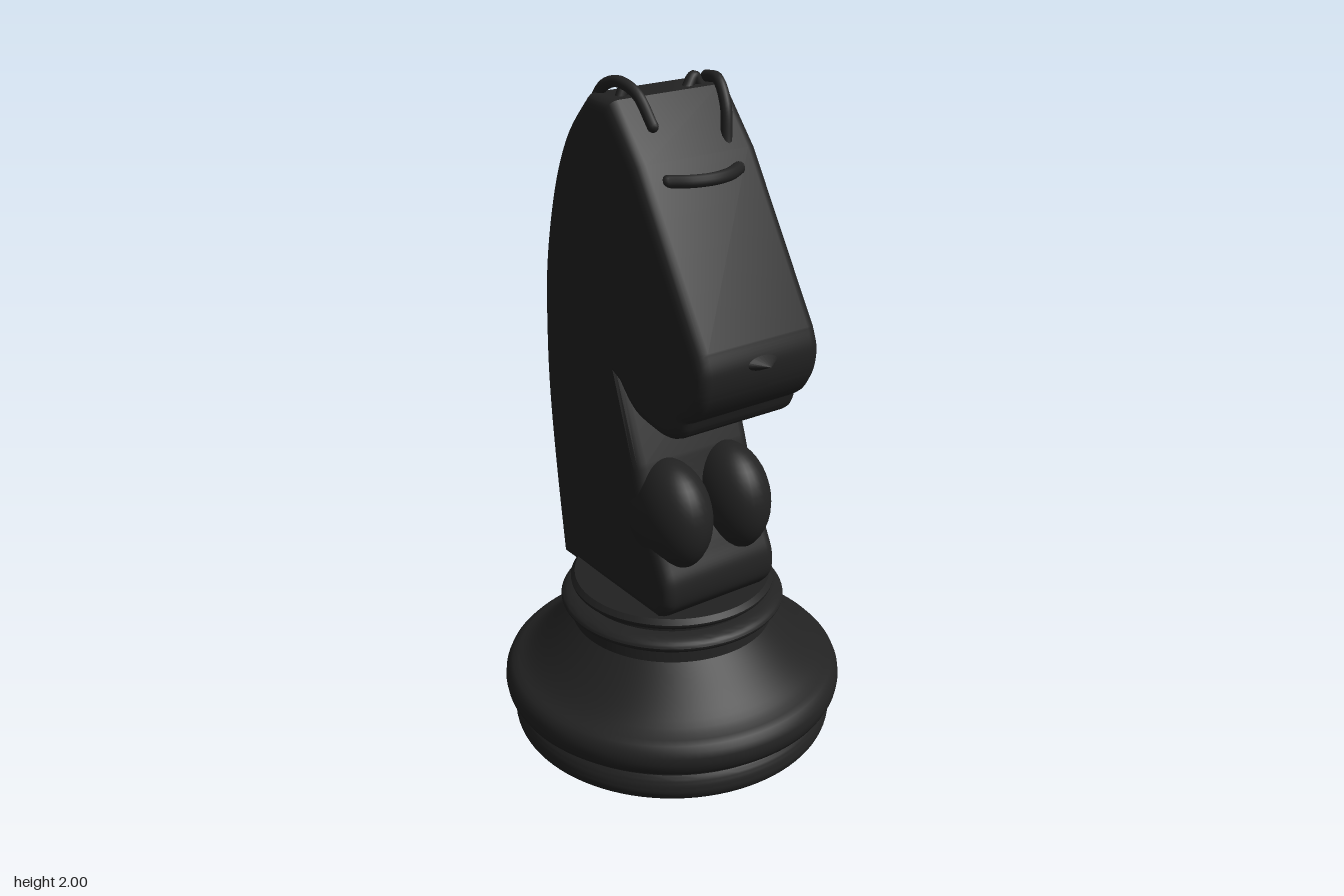
import * as THREE from 'three';
import { toCreasedNormals } from 'three/addons/utils/BufferGeometryUtils.js';

const black = new THREE.MeshStandardMaterial({ color: 0x222222 });
black.name = 'black';

export function createModel() {
  const group = new THREE.Group();
  const add = (name, geometry, x = 0, y = 0, z = 0) => {
    const mesh = new THREE.Mesh(geometry, black);
    mesh.name = name;
    mesh.position.set(x, y, z);
    group.add(mesh);
    return mesh;
  };
  const tube = (name, points, radius) => {
    const curve = new THREE.CatmullRomCurve3(points.map(p => new THREE.Vector3(...p)));
    add(name, new THREE.TubeGeometry(curve, 24, radius, 10));
    // Rounded tube ends
    for (const p of [points[0], points[points.length - 1]]) {
      add(name + 'Tip', new THREE.SphereGeometry(radius, 10, 8), ...p);
    }
  };

  // Turned base: foot ring, round moulding, flared body and two collars
  const profile = new THREE.Path();
  profile.moveTo(0, 0);
  profile.lineTo(0.46, 0);
  profile.quadraticCurveTo(0.485, 0.005, 0.489, 0.035);
  profile.quadraticCurveTo(0.488, 0.065, 0.47, 0.085);
  profile.lineTo(0.47, 0.098);
  profile.bezierCurveTo(0.53, 0.1, 0.53, 0.2, 0.475, 0.21);
  profile.bezierCurveTo(0.43, 0.225, 0.39, 0.27, 0.305, 0.36);
  profile.lineTo(0.3, 0.4);
  profile.quadraticCurveTo(0.335, 0.405, 0.337, 0.425);
  profile.quadraticCurveTo(0.332, 0.445, 0.28, 0.45);
  profile.lineTo(0.28, 0.463);
  profile.quadraticCurveTo(0.306, 0.465, 0.307, 0.485);
  profile.lineTo(0.295, 0.5);
  profile.lineTo(0, 0.5);
  add('base', toCreasedNormals(new THREE.LatheGeometry(profile.getPoints(8), 96), 0.6));

  // Horse head and neck: side outline with rounded edges
  const v = list => list.map(([x, y]) => new THREE.Vector2(x, y));
  const outline = new THREE.Shape();
  outline.moveTo(-0.312, 0.47);
  outline.splineThru(v([[-0.35, 0.75], [-0.375, 1], [-0.379, 1.2], [-0.365, 1.42],
    [-0.31, 1.65], [-0.23, 1.82], [-0.12, 1.945]]));
  outline.lineTo(-0.01, 1.945);
  outline.lineTo(0.12, 1.8);
  outline.lineTo(0.395, 1.37);
  outline.splineThru(v([[0.415, 1.31], [0.405, 1.24], [0.37, 1.18], [0.33, 1.15]]));
  outline.splineThru(v([[0.31, 1.105], [0.26, 1.08], [0.2, 1.078], [0.09, 1.1], [0.01, 1.17]]));
  outline.lineTo(0.11, 0.94);
  outline.splineThru(v([[0.16, 0.8], [0.22, 0.68], [0.252, 0.61], [0.25, 0.54], [0.21, 0.49]]));
  const bevel = 0.035;
  const head = new THREE.ExtrudeGeometry(outline, {
    depth: 0.4 - 2 * bevel, curveSegments: 6, bevelEnabled: true,
    bevelSize: bevel, bevelOffset: -bevel, bevelThickness: bevel, bevelSegments: 4,
  });
  head.translate(0, 0, -0.2 + bevel);
  add('headAndNeck', toCreasedNormals(head, 0.6));

  // Paired chest muscles and inner ear hooks
  for (const s of [-1, 1]) {
    add('chestMuscle', new THREE.SphereGeometry(1, 32, 20), 0.135, 0.776, s * 0.104)
      .scale.set(0.155, 0.168, 0.108);
    tube('earHook', [[-0.05, 1.93, s * 0.135], [-0.055, 1.965, s * 0.11],
      [-0.045, 1.935, s * 0.08]], 0.016);
  }

  // Curved ears, slightly uneven
  tube('leftEar', [[-0.135, 1.925, 0.152], [-0.1, 1.965, 0.15], [-0.045, 1.984, 0.14],
    [0.02, 1.96, 0.125], [0.075, 1.885, 0.113]], 0.016);
  tube('rightEar', [[-0.04, 1.965, -0.142], [0.02, 1.968, -0.135], [0.07, 1.91, -0.125],
    [0.092, 1.81, -0.113]], 0.016);

  // Brow band
  tube('brow', [[0.145, 1.755, -0.115], [0.178, 1.755, -0.06], [0.19, 1.755, 0],
    [0.178, 1.755, 0.06], [0.145, 1.755, 0.115]], 0.018);

  // Pointed nose ridge
  const nose = new THREE.ConeGeometry(1, 1, 24);
  nose.rotateZ(-Math.PI / 2);
  add('noseRidge', nose, 0.415, 1.312, 0).scale.set(0.07, 0.036, 0.095);

  // Small mane spikes along the rear left edge
  [[-0.362, 1.14], [-0.358, 0.97], [-0.343, 0.8], [-0.322, 0.63]].forEach(([x, y]) => {
    const spike = add('maneSpike', new THREE.ConeGeometry(0.028, 0.05, 10), x, y, 0.17);
    spike.rotation.z = 1.9;
  });

  return group;
}
